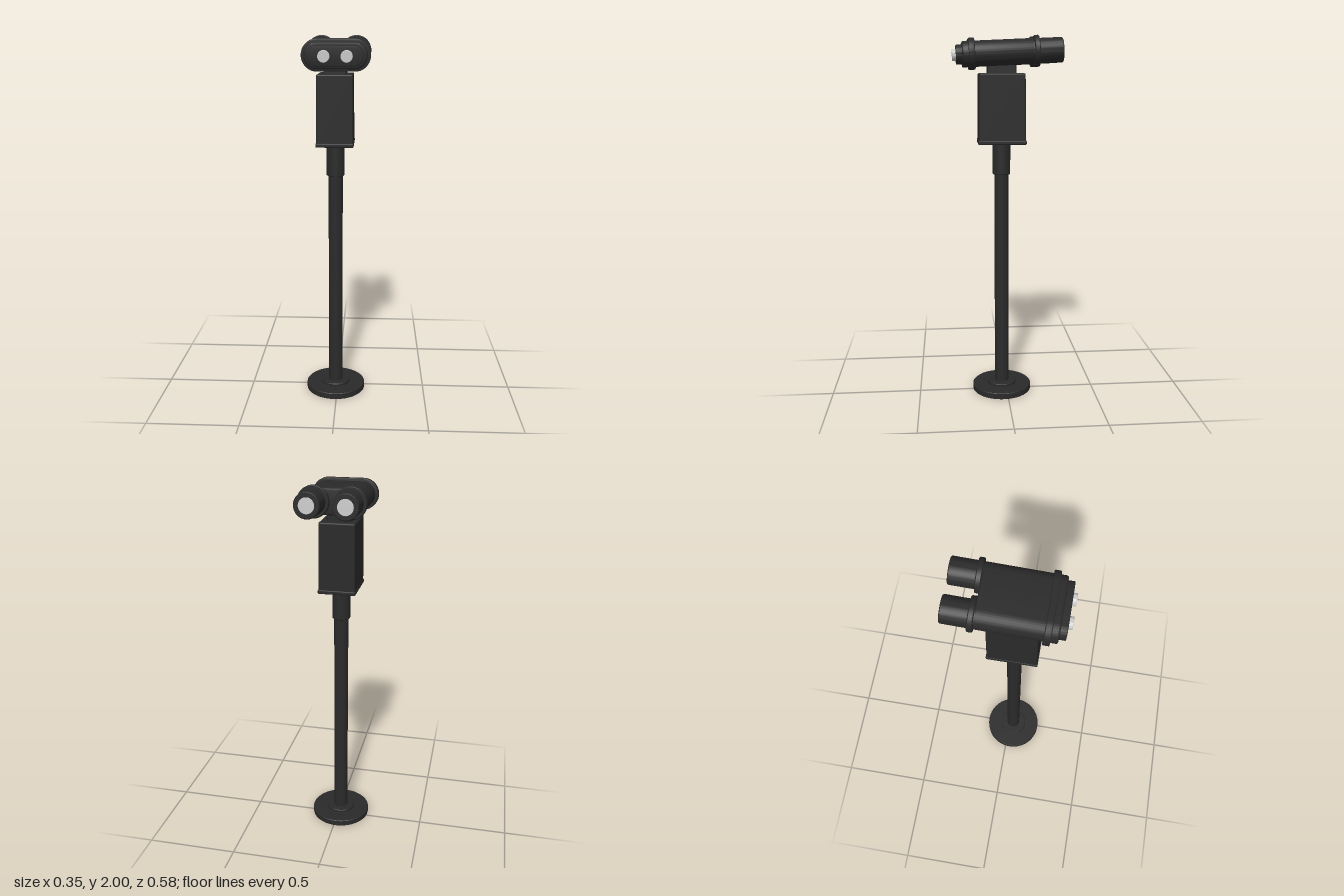
import * as THREE from 'three';
import { toCreasedNormals } from 'three/addons/utils/BufferGeometryUtils.js';
import { RoundedBoxGeometry } from 'three/addons/geometries/RoundedBoxGeometry.js';

const dark = new THREE.MeshStandardMaterial({ color: 0x2a2a2b });
const grey = new THREE.MeshStandardMaterial({ color: 0xcccccc });

function add(parent, name, geometry, material = dark, x = 0, y = 0, z = 0) {
  const mesh = new THREE.Mesh(geometry, material);
  mesh.name = name;
  mesh.position.set(x, y, z);
  parent.add(mesh);
  return mesh;
}

// Turned part from [radius, height] pairs, listed bottom to top
function turned(points, sides = 48) {
  const profile = points.map(([r, h]) => new THREE.Vector2(r, h));
  return toCreasedNormals(new THREE.LatheGeometry(profile, sides), 0.5);
}

// Closed cylinder with a small chamfer, from height a to height b
function rod(r, a, b, c = 0.003) {
  return turned([[0, a], [r - c, a], [r, a + c], [r, b - c], [r - c, b], [0, b]]);
}

// Slab with round ends, running along z from a to b
function roundEndedSlab(halfWidth, r, a, b, bevel) {
  const s = halfWidth - r;
  const shape = new THREE.Shape();
  shape.moveTo(-s, -r);
  shape.lineTo(s, -r);
  shape.absarc(s, 0, r, -Math.PI / 2, Math.PI / 2);
  shape.lineTo(-s, r);
  shape.absarc(-s, 0, r, Math.PI / 2, Math.PI * 1.5);
  const geometry = new THREE.ExtrudeGeometry(shape, {
    depth: b - a - 2 * bevel, curveSegments: 20, bevelEnabled: true,
    bevelThickness: bevel, bevelSize: bevel, bevelOffset: -bevel, bevelSegments: 3,
  });
  geometry.translate(0, 0, a + bevel);
  return toCreasedNormals(geometry, 0.6);
}

export function createModel() {
  const model = new THREE.Group();
  model.name = 'towerViewer';

  // Stand, standing slightly off centre
  const stand = new THREE.Group();
  stand.name = 'stand';
  stand.position.set(-0.01, 0, 0.027);
  model.add(stand);
  add(stand, 'base', turned([
    [0, 0.025], [0.135, 0.025], [0.135, 0], [0.164, 0], [0.166, 0.002],
    [0.166, 0.032], [0.163, 0.035], [0.08, 0.035], [0.08, 0.047], [0.077, 0.05], [0, 0.05],
  ], 64));
  add(stand, 'pole', rod(0.039, 0.022, 1.3));
  add(stand, 'collar', rod(0.049, 1.262, 1.44));

  // Housing, narrowing a little towards the top, on a thin lip
  const housing = new RoundedBoxGeometry(0.196, 0.375, 0.254, 3, 0.008);
  const p = housing.attributes.position;
  for (let i = 0; i < p.count; i++) {
    const k = 0.98 - 0.08 * p.getY(i);
    p.setX(i, p.getX(i) * k);
    p.setZ(i, p.getZ(i) * k);
  }
  add(stand, 'housing', housing, dark, 0, 1.6185, 0);
  add(stand, 'housingLip', new RoundedBoxGeometry(0.2, 0.022, 0.26, 3, 0.006), dark, 0, 1.442, 0);
  add(stand, 'neck', new RoundedBoxGeometry(0.12, 0.09, 0.154, 3, 0.008), dark, 0, 1.825, 0);

  // Binoculars, tilted so the far end is raised
  const head = new THREE.Group();
  head.name = 'binoculars';
  head.position.set(0, 1.913, 0);
  head.rotation.x = 0.046;
  model.add(head);
  add(head, 'body', roundEndedSlab(0.16, 0.066, -0.137, 0.238, 0.008));
  add(head, 'bodyFlange', roundEndedSlab(0.176, 0.081, 0.172, 0.204, 0.004));
  add(head, 'eyepiecePlate', roundEndedSlab(0.14, 0.049, 0.22, 0.27, 0.003));

  for (const side of [1, -1]) {
    const name = side > 0 ? 'left' : 'right';
    const along = (part, g, m, x) => add(head, name + part, g.rotateX(Math.PI / 2), m, side * x);
    along('Tube', rod(0.065, -0.287, -0.1, 0.004), dark, 0.095);
    along('TubeRing', rod(0.081, -0.163, -0.136, 0.004), dark, 0.095);
    along('FrontLens', rod(0.04, -0.289, -0.27, 0.001), grey, 0.095);
    along('Eyepiece', rod(0.03, 0.25, 0.29, 0.002), grey, 0.057);
  }
  return model;
}
